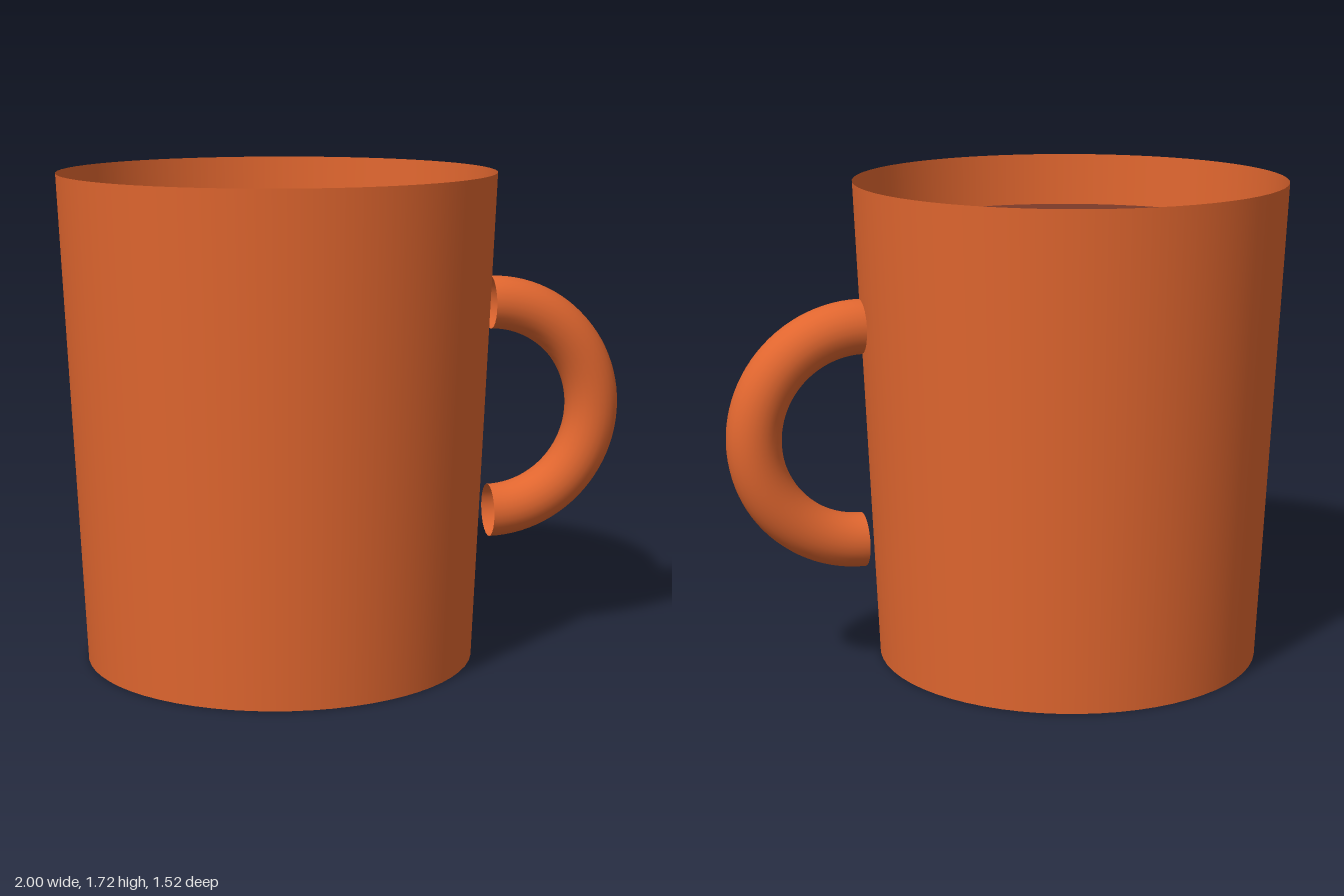
import * as THREE from 'three';

export function createModel() {
  const group = new THREE.Group();
  const clay = new THREE.MeshStandardMaterial({ color: 0xe0662f, side: THREE.DoubleSide });
  clay.name = 'orange clay';
  const coffee = new THREE.MeshStandardMaterial({ color: 0x7c3a28, side: THREE.DoubleSide });
  coffee.name = 'coffee brown';

  const add = (name, geometry, material, x, y) => {
    const mesh = new THREE.Mesh(geometry, material);
    mesh.name = name;
    mesh.position.set(x, y, 0);
    group.add(mesh);
    return mesh;
  };

  const height = 1.715, cupX = -0.24;

  // Thin tapered wall, open at both ends
  add('cupWall', new THREE.CylinderGeometry(0.76, 0.685, height, 64, 1, true), clay, cupX, height / 2);

  // Drink surface a little below the rim
  const drink = add('drinkSurface', new THREE.CircleGeometry(0.743, 64), coffee, cupX, 1.525);
  drink.rotation.x = -Math.PI / 2;

  // Half-ring handle on the +x side
  const ring = new THREE.TorusGeometry(0.38, 0.095, 24, 48, Math.PI).rotateZ(-Math.PI / 2);
  add('handle', ring, clay, 0.525, 0.86);

  return group;
}
